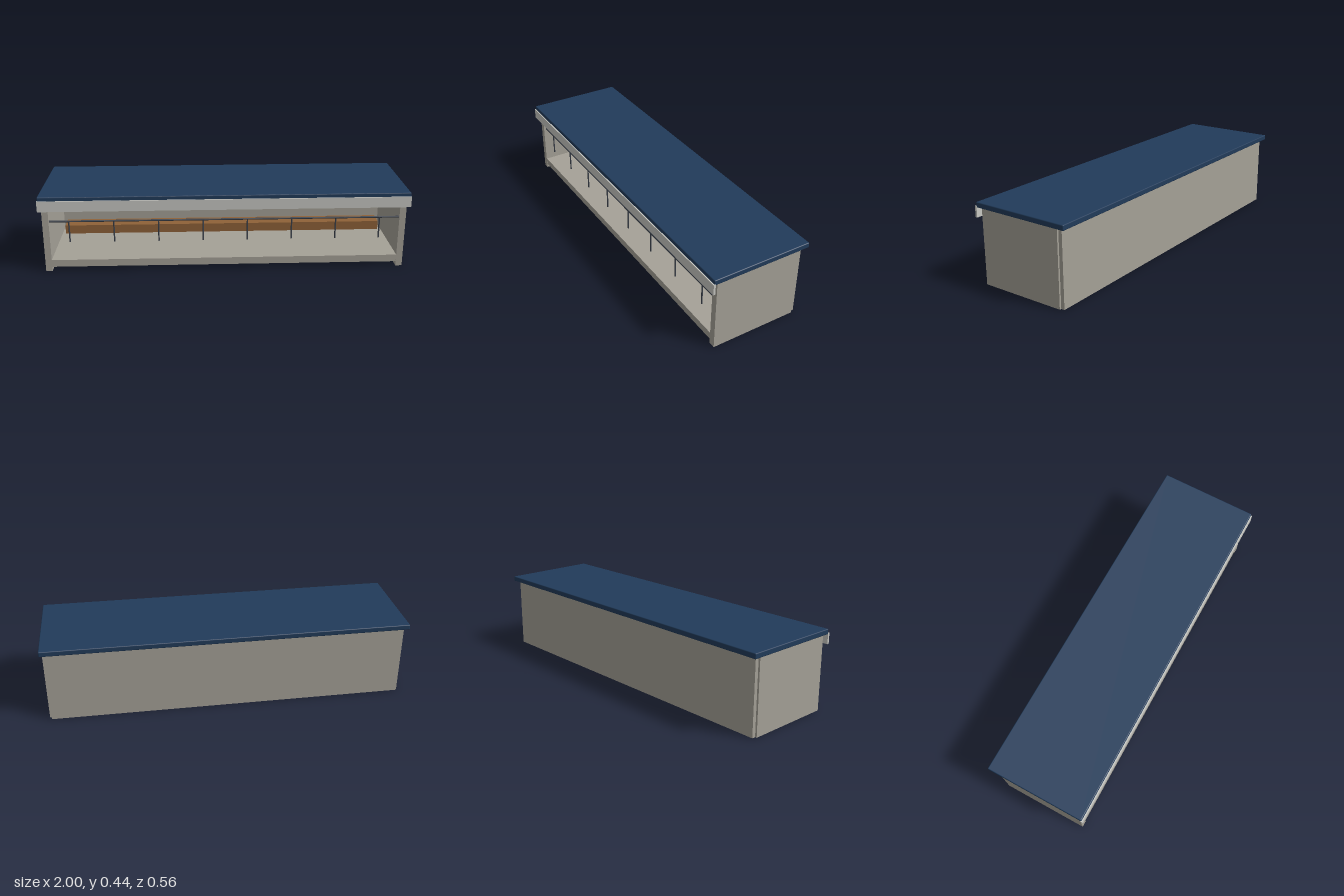
import * as THREE from 'three';
import { RoundedBoxGeometry } from 'three/addons/geometries/RoundedBoxGeometry.js';

function material(name, color) {
  const m = new THREE.MeshStandardMaterial({ color });
  m.name = name;
  return m;
}

export function createModel() {
  const group = new THREE.Group();
  const concrete = material('concrete', 0xa5a197);
  const roofBlue = material('roof blue', 0x213b5a);
  const wood = material('bench wood', 0x8f6238);
  const trim = material('pale trim', 0xc8c8c3);
  const steel = material('dark steel', 0x3c424c);

  const add = (name, geometry, mat, x, y, z) => {
    const mesh = new THREE.Mesh(geometry, mat);
    mesh.name = name;
    mesh.position.set(x, y, z);
    group.add(mesh);
    return mesh;
  };
  // Box given by its lower and upper corners
  const box = (name, mat, a, b) => add(name,
    new THREE.BoxGeometry(b[0] - a[0], b[1] - a[1], b[2] - a[2]), mat,
    (a[0] + b[0]) / 2, (a[1] + b[1]) / 2, (a[2] + b[2]) / 2);

  // Shell: raised floor, back wall and two side walls
  box('floor', concrete, [-0.95, 0.025, -0.23], [0.95, 0.065, 0.249]);
  box('backWall', concrete, [-0.975, 0, -0.25], [0.975, 0.41, -0.23]);
  box('leftWall', concrete, [0.95, 0, -0.23], [0.985, 0.41, 0.25]);
  box('rightWall', concrete, [-0.985, 0, -0.23], [-0.95, 0.41, 0.25]);

  // Roof slab with softened edges, and the fascia board at its front
  add('roof', new RoundedBoxGeometry(1.996, 0.029, 0.554, 3, 0.005), roofBlue, 0, 0.4225, -0.002);
  box('fascia', trim, [-1, 0.357, 0.27], [1, 0.416, 0.281]);

  // Long bench along the back wall
  box('bench', wood, [-0.93, 0.067, -0.23], [0.93, 0.118, -0.13]);

  // Front rail with short hanging posts
  const rail = add('rail', new THREE.CylinderGeometry(0.005, 0.005, 1.9, 12), steel, 0, 0.285, 0.233);
  rail.rotation.z = Math.PI / 2;
  for (let i = 0; i < 8; i++) {
    add('railPost', new THREE.CylinderGeometry(0.004, 0.004, 0.12, 10), steel,
      -0.845 + i * 0.2414, 0.225, 0.233);
  }
  return group;
}
